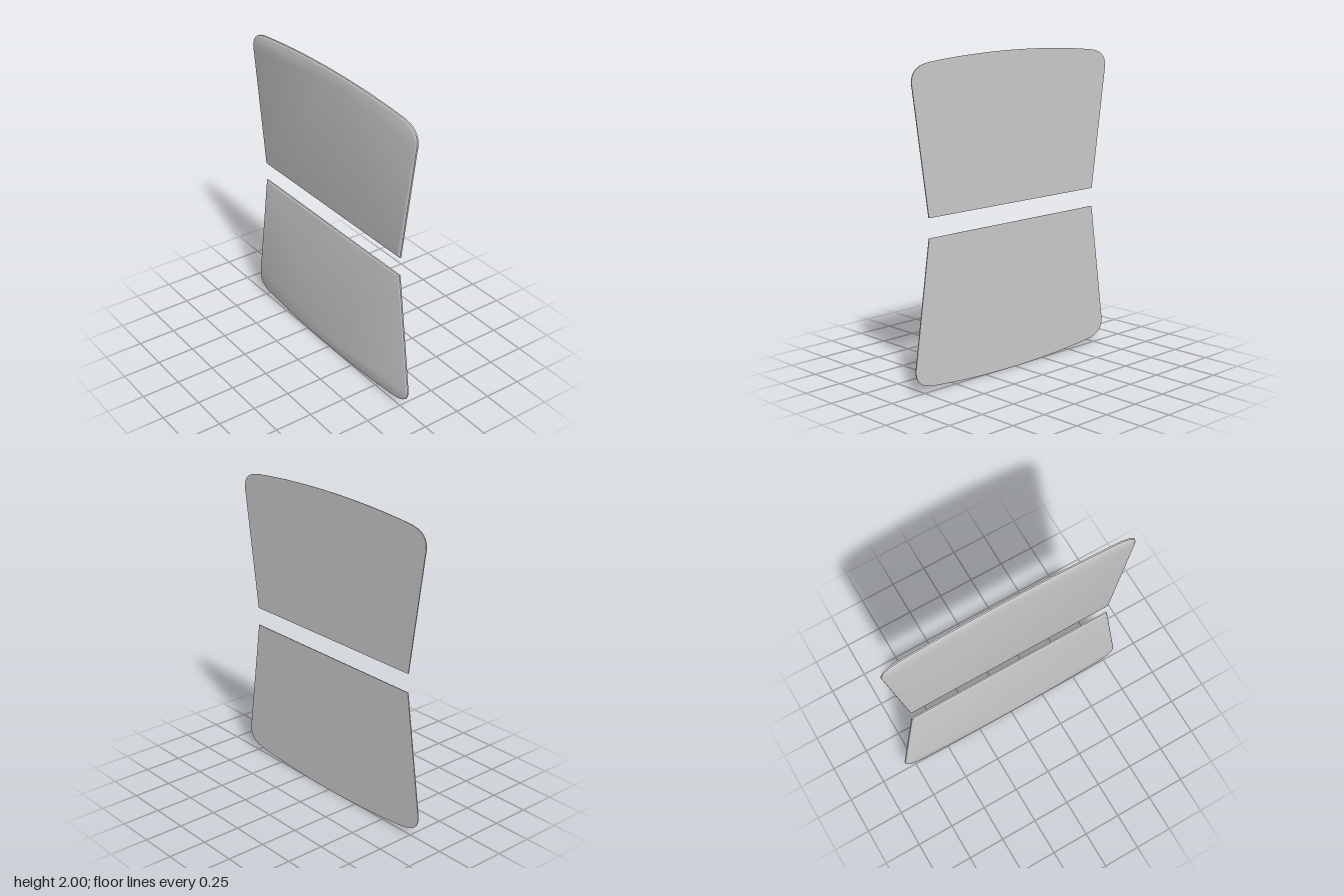
import * as THREE from 'three';
import { toCreasedNormals } from 'three/addons/utils/BufferGeometryUtils.js';

// Counter-clockwise outline of the upper panel: straight base, flared sides, bowed top
function panelOutline() {
  const half = new THREE.Path();
  half.moveTo(0.705, 1.06);
  half.lineTo(0.815, 1.81);
  half.bezierCurveTo(0.838, 1.91, 0.79, 1.955, 0.67, 1.967);
  half.quadraticCurveTo(0.35, 2, 0, 2);
  const right = half.getPoints(16);
  const left = right.slice(0, -1).reverse().map(p => new THREE.Vector2(-p.x, p.y));
  return [...right, ...left];
}

// Move every edge of a closed outline inwards by d, with mitred corners
function inset(points, d) {
  const n = points.length;
  return points.map((p, i) => {
    const a = p.clone().sub(points[(i + n - 1) % n]).normalize();
    const b = points[(i + 1) % n].clone().sub(p).normalize();
    const m = new THREE.Vector2(-a.y - b.y, a.x + b.x);
    return p.clone().addScaledVector(m, d / (1 + a.dot(b)));
  });
}

// Thin plate: flat full-size back, softened bevel round the front face
function panelGeometry(outline) {
  const profile = [[0, -0.008], [0.002, 0], [0.008, 0.005], [0.018, 0.008]];
  const rings = profile.map(([d, z]) => inset(outline, d).map(p => [p.x, p.y, z]));
  const n = outline.length;
  const midY = outline.reduce((s, p) => s + p.y, 0) / n;
  const pos = [];
  for (let i = 0; i < n; i++) {
    const j = (i + 1) % n;
    for (let r = 0; r < rings.length - 1; r++) {
      const a = rings[r], b = rings[r + 1];
      pos.push(...a[i], ...a[j], ...b[j], ...a[i], ...b[j], ...b[i]);
    }
    const front = rings[rings.length - 1], back = rings[0];
    pos.push(0, midY, 0.008, ...front[i], ...front[j]);
    pos.push(0, midY, -0.008, ...back[j], ...back[i]);
  }
  const g = new THREE.BufferGeometry();
  g.setAttribute('position', new THREE.Float32BufferAttribute(pos, 3));
  return toCreasedNormals(g, 0.35);
}

export function createModel() {
  const group = new THREE.Group();
  group.name = 'panelPair';
  const material = new THREE.MeshStandardMaterial({ color: 0xcccccc });

  const upper = panelOutline();
  // The lower panel mirrors the upper one about y = 1
  const lower = upper.map(p => new THREE.Vector2(p.x, 2 - p.y)).reverse();
  for (const [name, outline] of [['upperPanel', upper], ['lowerPanel', lower]]) {
    const mesh = new THREE.Mesh(panelGeometry(outline), material);
    mesh.name = name;
    group.add(mesh);
  }
  return group;
}
